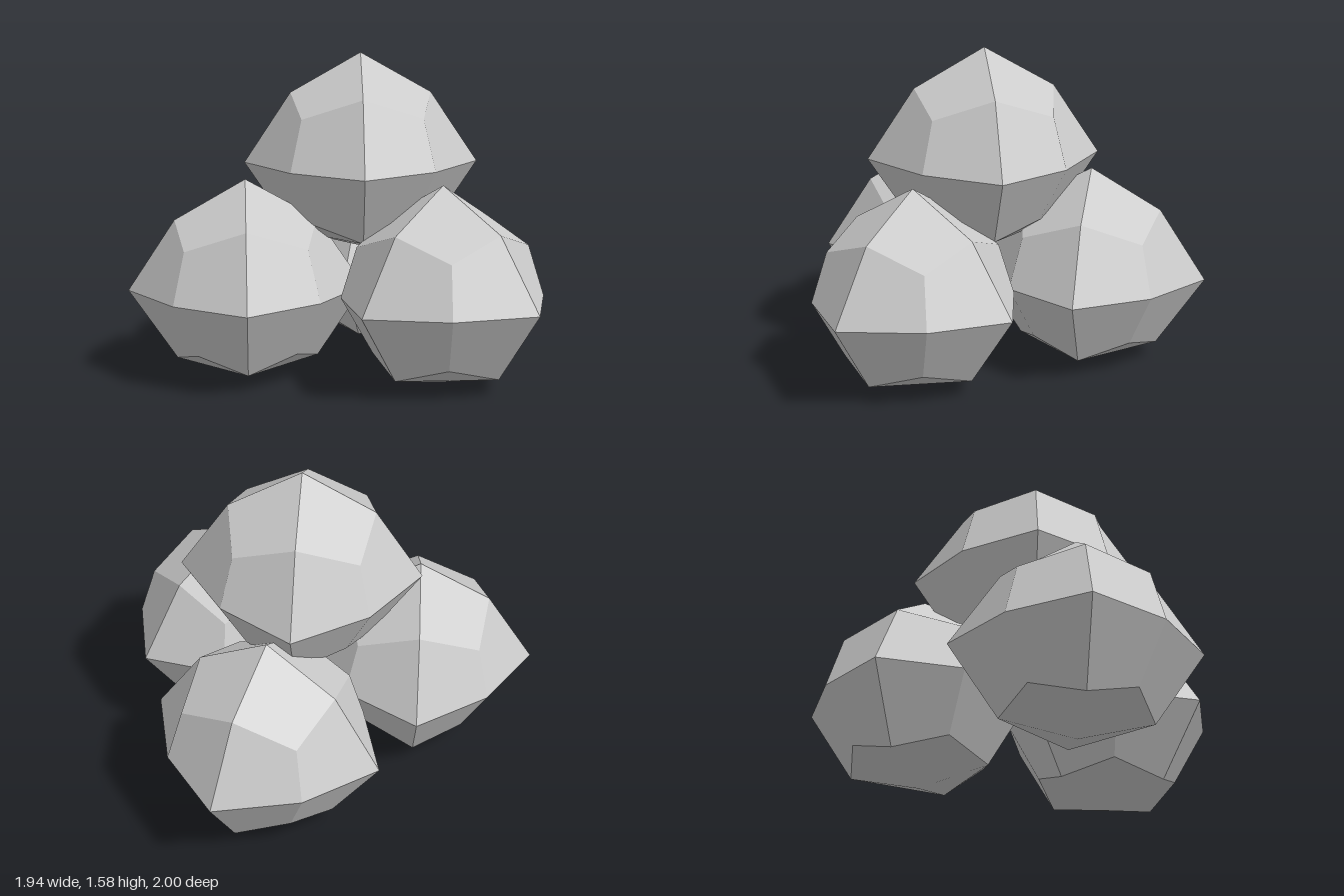
import * as THREE from 'three';

// Faceted boulder: every octant is three four-cornered facets that meet at one corner point.
function boulderGeometry() {
  const R = 0.58, M = 0.348;
  const positions = [], normals = [];

  // one facet as two triangles with a shared flat normal, turned to face outwards
  function facet(axis, midA, corner, midB) {
    const n = new THREE.Vector3().subVectors(corner, axis)
      .cross(new THREE.Vector3().subVectors(midB, midA)).normalize();
    let tris = [axis, midA, midB, midA, corner, midB];
    if (n.dot(corner) < 0) {
      n.negate();
      tris = [axis, midB, midA, midA, midB, corner];
    } 
    const face = new THREE.Vector3().subVectors(tris[1], tris[0])
      .cross(new THREE.Vector3().subVectors(tris[2], tris[0]));
    if (face.dot(n) < 0) tris.reverse();
    for (const p of tris) {
      positions.push(p.x, p.y, p.z);
      normals.push(n.x, n.y, n.z);
    }
  }

  for (const sx of [1, -1]) for (const sy of [1, -1]) for (const sz of [1, -1]) {
    const v = (x, y, z) => new THREE.Vector3(x * sx, y * sy, z * sz);
    const up = sy > 0;
    const pole = v(0, up ? 0.545 : 0.43, 0);      // flatter underside
    const ax = v(R, 0, 0), az = v(0, 0, R);
    const xy = v(M, M, 0), zy = v(0, M, M), xz = v(M, 0, M);
    const corner = up ? v(0.293, 0.25, 0.293) : v(0.24, 0.275, 0.24);
    facet(pole, xy, corner, zy);
    facet(ax, xy, corner, xz);
    facet(az, zy, corner, xz);
  }

  const geometry = new THREE.BufferGeometry();
  geometry.setAttribute('position', new THREE.Float32BufferAttribute(positions, 3));
  geometry.setAttribute('normal', new THREE.Float32BufferAttribute(normals, 3));
  return geometry;
}

export function createModel() {
  const group = new THREE.Group();
  group.name = 'rockPile';
  const geometry = boulderGeometry();
  const material = new THREE.MeshStandardMaterial({ color: 0xcccccc });

  // three boulders on the ground and one on top: name, centre, turn in degrees
  const boulders = [
    ['leftBoulder', 0.39, 0.43, 0, 0],
    ['frontBoulder', -0.445, 0.43, 0.505, -43.5],
    ['backBoulder', -0.445, 0.43, -0.475, 24],
    ['topBoulder', -0.16, 1.03, -0.02, -45.7],
  ];
  for (const [name, x, y, z, turn] of boulders) {
    const boulder = new THREE.Mesh(geometry, material);
    boulder.name = name;
    boulder.position.set(x, y, z);
    boulder.rotation.y = THREE.MathUtils.degToRad(turn);
    group.add(boulder);
  }
  return group;
}
